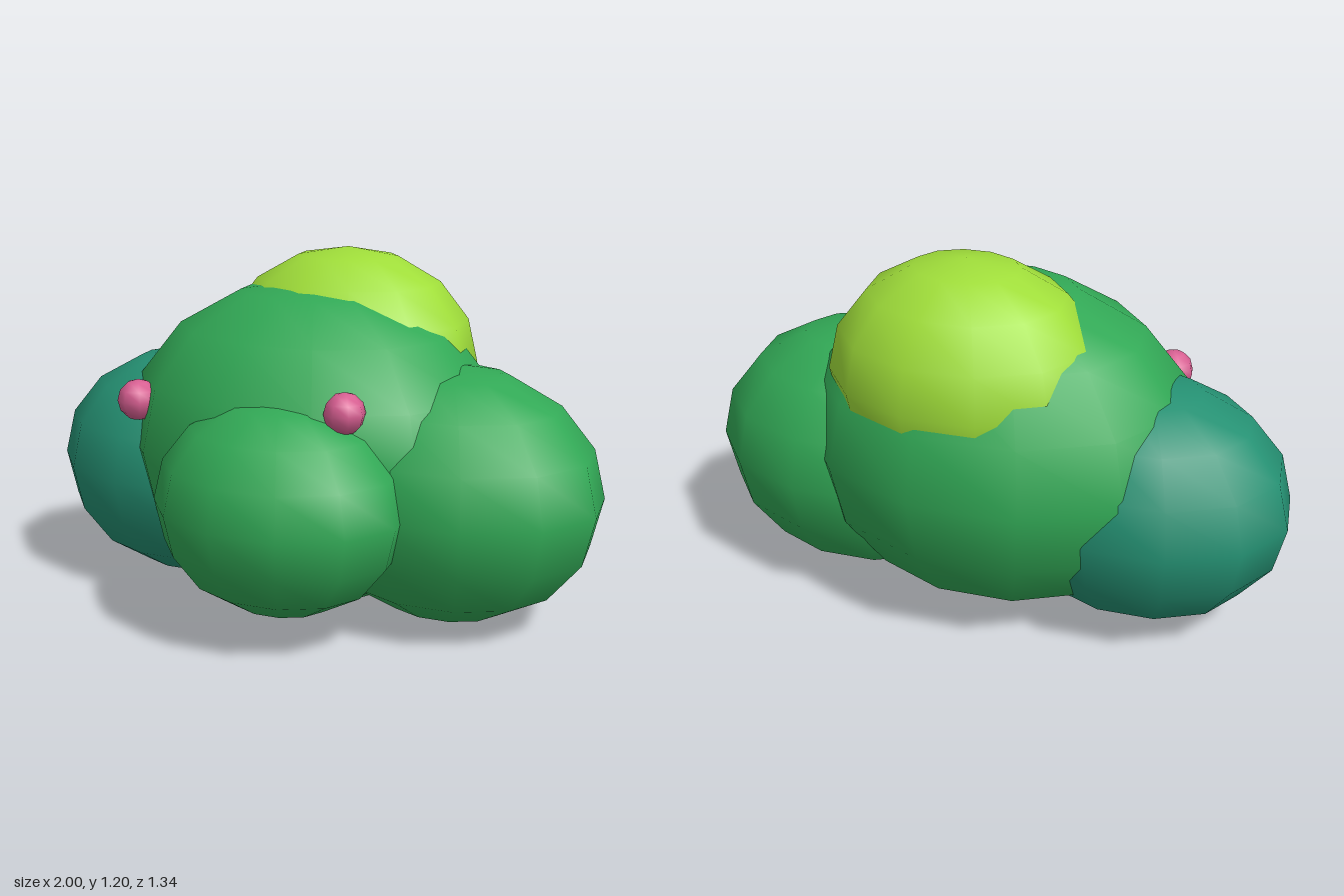
import * as THREE from 'three';

const flat = (name, color) => {
  const m = new THREE.MeshStandardMaterial({ color });
  m.name = name;
  return m;
};

export function createModel() {
  const group = new THREE.Group();
  group.name = 'bush';

  const green = flat('leaf green', 0x32a956);
  const teal = flat('teal green', 0x259173);
  const lime = flat('lime green', 0xa0de3a);
  const pink = flat('berry pink', 0xd85f92);

  const leafGeometry = new THREE.SphereGeometry(1, 12, 8);
  const berryGeometry = new THREE.SphereGeometry(1, 8, 6);

  // An ellipsoid with the given centre and radii
  const add = (name, geometry, material, centre, radii) => {
    const mesh = new THREE.Mesh(geometry, material);
    mesh.name = name;
    mesh.position.set(...centre);
    mesh.scale.set(...radii);
    group.add(mesh);
  };

  // Foliage clumps
  add('mainClump', leafGeometry, green, [-0.02, 0.555, -0.1], [0.68, 0.55, 0.57]);
  add('leftClump', leafGeometry, green, [0.47, 0.44, -0.165], [0.53, 0.425, 0.435]);
  add('rightClump', leafGeometry, teal, [-0.5, 0.425, -0.03], [0.5, 0.4, 0.415]);
  add('frontClump', leafGeometry, green, [0.135, 0.445, 0.3], [0.43, 0.35, 0.365]);
  add('topClump', leafGeometry, lime, [0.02, 0.82, -0.24], [0.46, 0.38, 0.39]);

  // Berries
  add('rightBerry', berryGeometry, pink, [-0.445, 0.71, 0.315], [0.07, 0.07, 0.07]);
  add('leftBerry', berryGeometry, pink, [0.37, 0.775, 0.29], [0.066, 0.066, 0.066]);

  return group;
}
